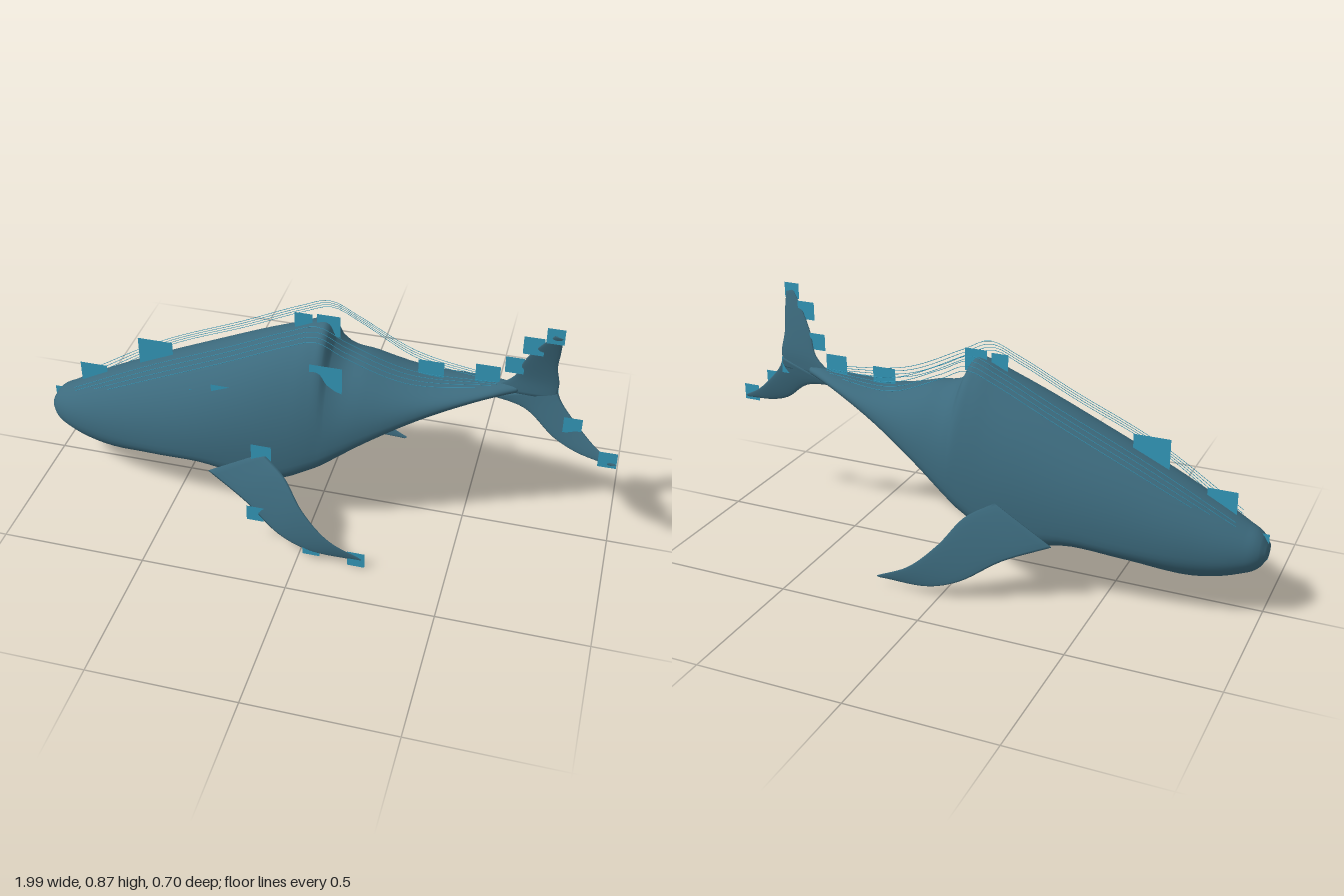
import * as THREE from 'three';

const skin = new THREE.MeshStandardMaterial({ color: 0x3c6a7d, side: THREE.DoubleSide });
skin.name = 'slate blue skin';
const accent = new THREE.MeshStandardMaterial({ color: 0x3399bb, side: THREE.DoubleSide });
accent.name = 'bright blue';

// Smooth closed skin over a list of rings, with both ends capped
function loft(rings) {
  const n = rings[0].length, pos = [], index = [];
  rings.forEach(r => r.forEach(p => pos.push(p.x, p.y, p.z)));
  for (let i = 0; i < rings.length - 1; i++) {
    for (let j = 0; j < n; j++) {
      const k = (j + 1) % n, a = i * n + j, b = a + n, c = (i + 1) * n + k, d = i * n + k;
      index.push(a, b, c, a, c, d);
    }
  }
  [0, rings.length - 1].forEach(e => {
    const mid = rings[e].reduce((s, p) => s.add(p), new THREE.Vector3()).divideScalar(n);
    const m = pos.length / 3;
    pos.push(mid.x, mid.y, mid.z);
    for (let j = 0; j < n; j++) {
      const a = e * n + j, b = e * n + (j + 1) % n;
      if (e === 0) index.push(m, a, b); else index.push(m, b, a);
    }
  });
  const g = new THREE.BufferGeometry();
  g.setAttribute('position', new THREE.Float32BufferAttribute(pos, 3));
  g.setIndex(index);
  g.computeVertexNormals();
  return g;
}

// Body sections: x, bottom, top, height of widest point, half width, belly squareness
const sections = [
  [-1, 0.2, 0.25, 0.225, 0.035, 2],
  [-0.98, 0.17, 0.28, 0.22, 0.06, 2],
  [-0.93, 0.145, 0.31, 0.215, 0.09, 2.1],
  [-0.78, 0.115, 0.39, 0.22, 0.14, 2.2],
  [-0.58, 0.15, 0.485, 0.24, 0.182, 2.6],
  [-0.4, 0.178, 0.565, 0.27, 0.205, 3.4],
  [-0.2, 0.15, 0.655, 0.3, 0.212, 4.2],
  [-0.09, 0.175, 0.7, 0.31, 0.209, 4],
  [-0.02, 0.21, 0.728, 0.33, 0.203, 3.5],
  [0.02, 0.232, 0.725, 0.345, 0.198, 3.3],
  [0.045, 0.25, 0.672, 0.355, 0.195, 3.1],
  [0.17, 0.345, 0.625, 0.42, 0.17, 2.6],
  [0.35, 0.455, 0.585, 0.505, 0.12, 2.2],
  [0.52, 0.535, 0.592, 0.565, 0.068, 2],
  [0.6, 0.562, 0.602, 0.582, 0.035, 2],
  [0.65, 0.575, 0.6, 0.59, 0.012, 2],
];

function bodyGeometry() {
  const xs = sections.map(s => s[0]);
  const curve = new THREE.CubicInterpolant(xs, sections.flatMap(s => s.slice(1)), 5);
  const rings = [];
  const addRing = x => {
    const [bottom, top, wide, half, square] = curve.evaluate(x);
    const ring = [];
    for (let j = 0; j < 48; j++) {
      const a = j / 48 * Math.PI * 2, c = Math.cos(a), s = Math.sin(a);
      const e = s < 0 ? 2 / square : 1;
      const z = Math.sign(c) * Math.abs(c) ** e * half;
      const y = s < 0 ? wide - (wide - bottom) * Math.abs(s) ** e : wide + (top - wide) * s;
      ring.push(new THREE.Vector3(x, y, z));
    }
    rings.push(ring);
  };
  for (let i = 0; i < xs.length - 1; i++) {
    for (let k = 0; k < 5; k++) addRing(xs[i] + (xs[i + 1] - xs[i]) * k / 5);
  }
  addRing(xs[xs.length - 1]);
  return loft(rings);
}

const spline = pts => new THREE.CatmullRomCurve3(pts.map(p => new THREE.Vector3(...p)));

// Fin with a lens-shaped section stretched between its two edge curves
function finGeometry(leading, trailing, thickness) {
  const a = spline(leading), b = spline(trailing), rings = [];
  for (let i = 0; i <= 24; i++) {
    const t = i / 24, p = a.getPoint(t), q = b.getPoint(t);
    const chord = q.clone().sub(p);
    const span = a.getTangent(t).add(b.getTangent(t));
    const normal = chord.clone().cross(span).normalize();
    const ring = [];
    for (let j = 0; j < 16; j++) {
      const w = j / 16 * Math.PI * 2;
      ring.push(p.clone().addScaledVector(chord, 0.5 - 0.5 * Math.cos(w))
        .addScaledVector(normal, Math.sin(w) * thickness * (1 - 0.6 * t)));
    }
    rings.push(ring);
  }
  return loft(rings);
}

export function createModel() {
  const whale = new THREE.Group();
  whale.name = 'whale';
  const add = (name, geometry, material) => {
    const m = new THREE.Mesh(geometry, material);
    m.name = name;
    whale.add(m);
    return m;
  };

  add('body', bodyGeometry(), skin);

  // Flippers, one each side
  const flipper = finGeometry(
    [[-0.35, 0.21, 0.226], [-0.2, 0.155, 0.285], [-0.07, 0.075, 0.33], [0.04, 0.038, 0.342], [0.22, 0.03, 0.338]],
    [[-0.15, 0.33, 0.228], [-0.064, 0.283, 0.275], [0.01, 0.19, 0.322], [0.107, 0.1, 0.346], [0.23, 0.036, 0.34]],
    0.006);
  add('nearFlipper', flipper, skin);
  add('farFlipper', flipper, skin).scale.z = -1;

  // Tail flukes, rolled onto their side
  add('upperFluke', finGeometry(
    [[0.55, 0.575, 0], [0.63, 0.64, 0.008], [0.66, 0.72, 0.026], [0.7, 0.79, 0.046], [0.745, 0.853, 0.066]],
    [[0.77, 0.58, 0.014], [0.775, 0.64, 0.016], [0.765, 0.71, 0.027], [0.77, 0.78, 0.044], [0.773, 0.845, 0.064]],
    0.007), skin);
  add('lowerFluke', finGeometry(
    [[0.55, 0.545, 0], [0.675, 0.525, 0.016], [0.78, 0.45, 0.048], [0.86, 0.42, 0.068], [0.97, 0.405, 0.088]],
    [[0.77, 0.615, 0.01], [0.79, 0.575, 0.02], [0.86, 0.5, 0.045], [0.92, 0.45, 0.068], [0.99, 0.41, 0.09]],
    0.007), skin);

  // Flat square markers: x, y, z, size
  [
    [-0.955, 0.24, 0, 0.09], [-0.84, 0.36, 0, 0.1], [-0.6, 0.49, 0, 0.125],
    [-0.07, 0.725, 0, 0.06], [0.015, 0.72, 0, 0.08], [0.36, 0.6, 0, 0.085],
    [0.545, 0.62, 0, 0.08], [0.63, 0.69, 0.02, 0.06], [0.685, 0.79, 0.045, 0.065],
    [0.75, 0.85, 0.064, 0.056], [0.745, 0.588, 0.012, 0.06], [0.835, 0.51, 0.05, 0.06],
    [0.96, 0.425, 0.088, 0.06], [-0.155, 0.33, 0.235, 0.07], [-0.16, 0.125, 0.305, 0.06],
    [0.045, 0.05, 0.342, 0.06], [0.2, 0.035, 0.342, 0.06],
    [0.04, 0.6, 0.136, 0.11], [-0.31, 0.48, 0.15, 0.08], [-0.41, 0.455, 0.138, 0.045],
  ].forEach(([x, y, z, s]) => {
    add('squareMarker', new THREE.PlaneGeometry(s, s), accent).position.set(x, y, z);
  });

  // Fine strands floating over both sides of the back
  for (const side of [1, -1]) {
    for (let i = 0; i < 4; i++) {
      const d = i * 0.014, z = 0.08 + i * 0.009;
      const path = spline([
        [-0.9, 0.33 - d, 0.05], [-0.6, 0.5 - d, z], [-0.3, 0.635 - d, z], [-0.1, 0.73 - d, z],
        [0, 0.765 - d, z], [0.1, 0.72 - d, z], [0.3, 0.635 - d, z * 0.7], [0.58, 0.61 - d / 2, 0.015],
      ].map(([x, y, w]) => [x, y, w * side]));
      add('backStrand', new THREE.TubeGeometry(path, 60, 0.001, 4), accent);
    }
  }
  return whale;
}
